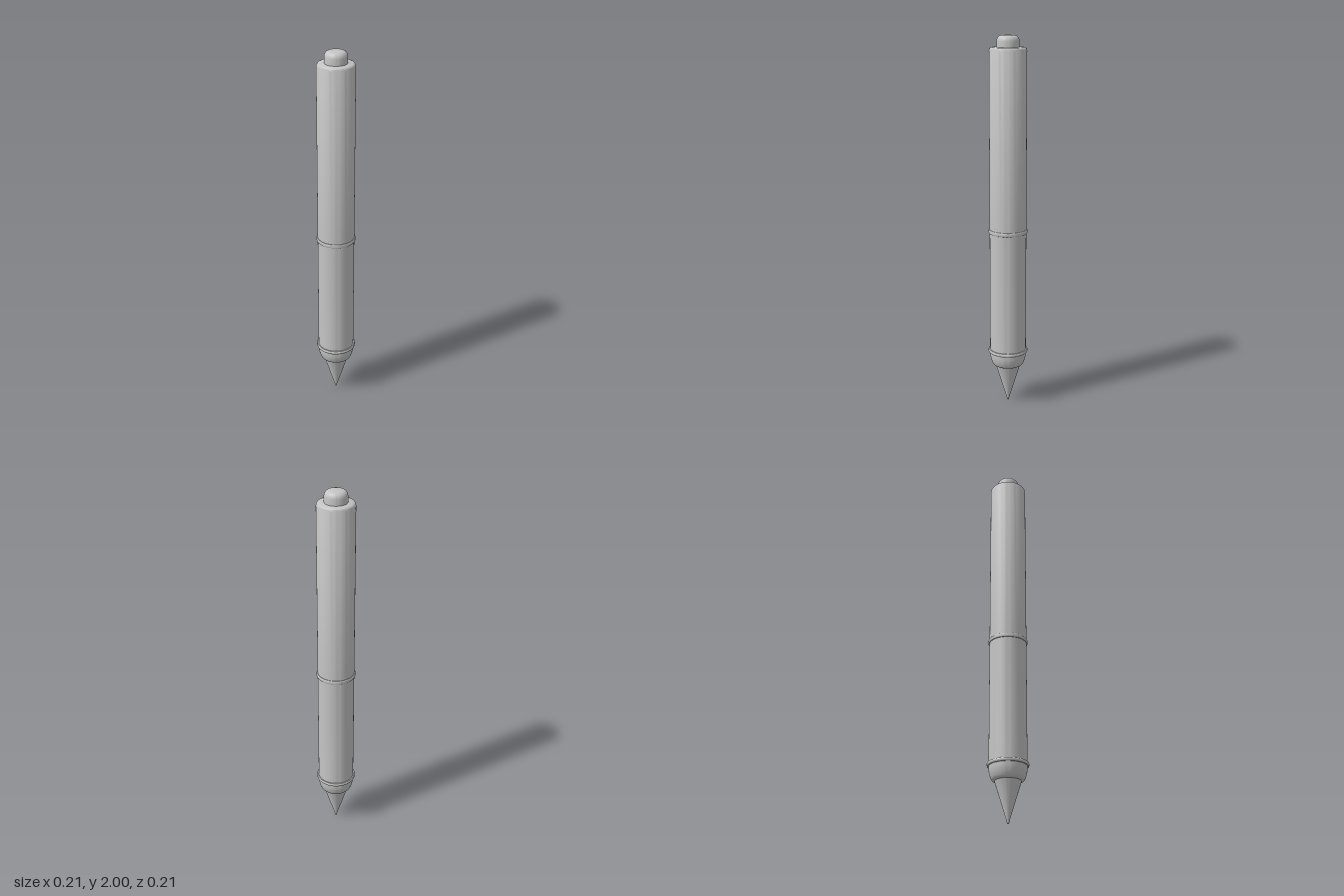
import * as THREE from 'three';
import { toCreasedNormals } from 'three/addons/utils/BufferGeometryUtils.js';

export function createModel() {
  const pen = new THREE.Group();
  pen.name = 'pen';
  const grey = new THREE.MeshStandardMaterial({ color: 0xc4c4c4 });
  grey.name = 'satin grey';

  // Turned part from [radius, height] pairs, listed bottom to top
  function turned(name, profile) {
    const points = profile.map(([r, y]) => new THREE.Vector2(r, y));
    const geometry = toCreasedNormals(new THREE.LatheGeometry(points, 64), 0.6);
    const mesh = new THREE.Mesh(geometry, grey);
    mesh.name = name;
    pen.add(mesh);
  }

  // Slim raised band with softened edges
  function band(name, y, radius, height) {
    const h = height / 2, b = 0.003;
    turned(name, [
      [0.09, y - h], [radius - b, y - h], [radius - b * 0.3, y - h + b * 0.7], [radius, y - h + b * 2],
      [radius, y + h - b * 2], [radius - b * 0.3, y + h - b * 0.7], [radius - b, y + h], [0.09, y + h],
    ]);
  }

  // Writing point
  turned('tip', [[0, 0], [0.004, 0.001], [0.006, 0.006], [0.007, 0.014], [0.069, 0.217], [0, 0.217]]);

  // Rounded nose under the grip
  turned('nose', [
    [0, 0.215], [0.074, 0.215], [0.081, 0.219], [0.087, 0.229], [0.092, 0.243],
    [0.096, 0.259], [0.098, 0.275], [0.098, 0.3],
  ]);

  // Barrel halves, the upper one with a rounded shoulder
  turned('lowerBarrel', [[0.098, 0.3], [0.098, 0.975]]);
  turned('upperBarrel', [
    [0.098, 0.975], [0.098, 1.922], [0.0965, 1.93], [0.092, 1.937], [0.085, 1.94], [0, 1.94],
  ]);

  // Trim bands
  band('gripBand', 0.3, 0.107, 0.018);
  band('middleBand', 0.975, 0.104, 0.02);

  // Push button
  turned('button', [
    [0.059, 1.935], [0.059, 1.972], [0.057, 1.982], [0.052, 1.991], [0.045, 1.997], [0.035, 2], [0, 2],
  ]);

  return pen;
}
